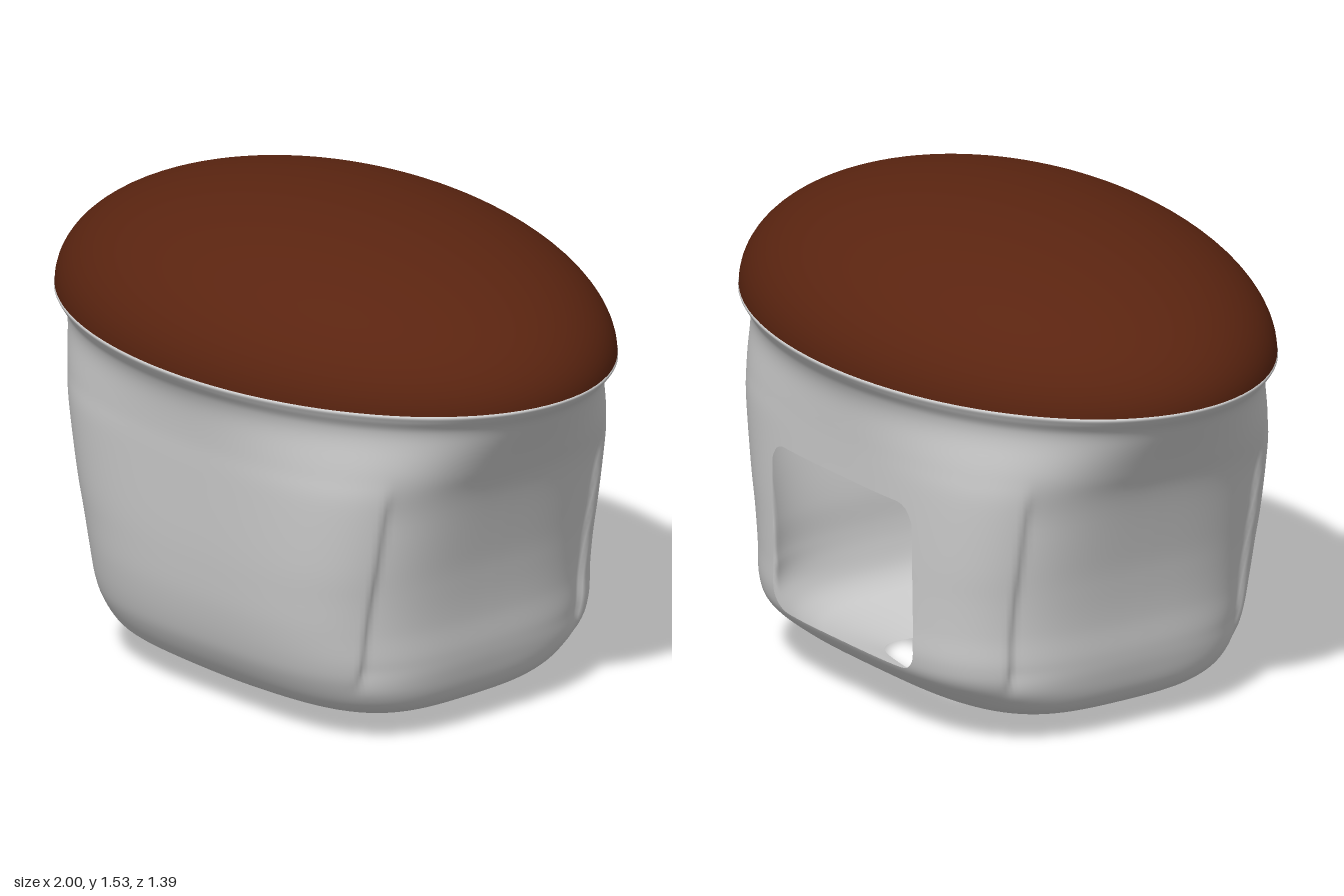
import * as THREE from 'three';

// Profile rows: height, half width, front depth, back depth, corner squareness
const ROWS = [
  [1.13, 0.985, 0.68, 0.68, 2], [1.12, 1.0, 0.693, 0.693, 2], [1.1, 0.985, 0.682, 0.682, 2.02],
  [1.06, 0.94, 0.652, 0.652, 2.12], [1.0, 0.9, 0.632, 0.634, 2.35], [0.9, 0.84, 0.62, 0.628, 2.85],
  [0.8, 0.79, 0.616, 0.626, 3.3], [0.6, 0.73, 0.608, 0.625, 3.6], [0.48, 0.703, 0.6, 0.625, 3.6],
  [0.37, 0.686, 0.588, 0.625, 3.6], [0.27, 0.68, 0.567, 0.624, 3.6], [0.2, 0.668, 0.541, 0.598, 3.6],
  [0.13, 0.645, 0.495, 0.515, 3.6], [0.085, 0.605, 0.44, 0.445, 3.6], [0.06, 0.55, 0.395, 0.395, 3.7],
  [0.03, 0.46, 0.33, 0.33, 3.9], [0.004, 0.38, 0.265, 0.265, 4.2],
];
const curve = (f) => new THREE.CatmullRomCurve3(ROWS.map(f), false, 'catmullrom', 0.5);
const widthCurve = curve(([y, a, , , n]) => new THREE.Vector3(a, y, n));
const depthCurve = curve(([y, , f, b]) => new THREE.Vector3(f, y, b));
const { smoothstep } = THREE.MathUtils;

function bodyPoint(theta, t) {
  const w = widthCurve.getPoint(t), d = depthCurve.getPoint(t);
  const c = Math.cos(theta), s = Math.sin(theta);
  const b = s > 0 ? d.x : d.z, n = w.z;
  const r = Math.pow(Math.pow(Math.abs(c) / w.x, n) + Math.pow(Math.abs(s) / b, n), -1 / n);
  let x = r * c;
  const z = r * s, y = w.y;
  // Stepped crease where the side panels meet the front and back panels
  const inset = 0.445 - Math.abs(z);
  if (inset > 0 && Math.abs(x) > 0.35) {
    const mask = smoothstep(y, 0.16, 0.26) * (1 - smoothstep(y, 0.74, 0.92));
    x -= Math.sign(x) * 0.028 * mask * smoothstep(inset, 0, 0.03) * Math.exp(-inset / 0.11);
  }
  // The lower corners lift slightly around the floor opening
  const lift = 0.018 * Math.sin(2 * theta) ** 2 * (1 - smoothstep(y, 0, 0.12));
  return new THREE.Vector3(x, y + lift, z);
}

// Signed distance to the rounded back window, negative inside it
function windowDistance(p) {
  if (p.z > 0) return 1;
  const r = 0.07;
  const qx = Math.abs(p.x) - 0.36 + r, qy = Math.abs(p.y - 0.487) - 0.267 + r;
  return Math.hypot(Math.max(qx, 0), Math.max(qy, 0)) + Math.min(Math.max(qx, qy), 0) - r;
}

// Cuts every triangle along the window outline
function cutWindow(geometry) {
  const pos = geometry.attributes.position, nor = geometry.attributes.normal, index = geometry.index;
  const outP = [], outN = [];
  const vertex = (i) => {
    const p = new THREE.Vector3().fromBufferAttribute(pos, i);
    return { p, n: new THREE.Vector3().fromBufferAttribute(nor, i), d: windowDistance(p) };
  };
  for (let i = 0; i < index.count; i += 3) {
    const tri = [0, 1, 2].map((k) => vertex(index.getX(i + k)));
    const poly = [];
    tri.forEach((u, k) => {
      const v = tri[(k + 1) % 3];
      if (u.d >= 0) poly.push(u);
      if (u.d >= 0 !== v.d >= 0) {
        const f = u.d / (u.d - v.d);
        poly.push({ p: u.p.clone().lerp(v.p, f), n: u.n.clone().lerp(v.n, f).normalize() });
      }
    });
    for (let k = 1; k + 1 < poly.length; k++) {
      for (const v of [poly[0], poly[k], poly[k + 1]]) {
        outP.push(...v.p.toArray());
        outN.push(...v.n.toArray());
      }
    }
  }
  const cut = new THREE.BufferGeometry();
  cut.setAttribute('position', new THREE.Float32BufferAttribute(outP, 3));
  cut.setAttribute('normal', new THREE.Float32BufferAttribute(outN, 3));
  return cut;
}

function buildBody() {
  const around = 320, down = 96, positions = [], indices = [];
  for (let j = 0; j <= down; j++) {
    for (let i = 0; i < around; i++) {
      positions.push(...bodyPoint((i / around) * Math.PI * 2, j / down).toArray());
    }
  }
  for (let j = 0; j < down; j++) {
    for (let i = 0; i < around; i++) {
      const k = (i + 1) % around;
      const a = j * around + i, b = j * around + k, c = a + around, d = b + around;
      indices.push(a, b, c, b, d, c);
    }
  }
  const geometry = new THREE.BufferGeometry();
  geometry.setAttribute('position', new THREE.Float32BufferAttribute(positions, 3));
  geometry.setIndex(indices);
  geometry.computeVertexNormals();
  return cutWindow(geometry);
}

export function createModel() {
  const model = new THREE.Group();

  // Thin shell with a back window and an open floor
  const body = new THREE.Mesh(
    buildBody(),
    new THREE.MeshStandardMaterial({ color: 0xcccccc, side: THREE.DoubleSide })
  );
  body.name = 'body';
  model.add(body);

  // Hollow domed top
  const domeGeometry = new THREE.SphereGeometry(1, 96, 32, 0, Math.PI * 2, 0, Math.PI / 2);
  domeGeometry.scale(0.998, 0.405, 0.691);
  const dome = new THREE.Mesh(
    domeGeometry,
    new THREE.MeshStandardMaterial({ color: 0x5a2410, side: THREE.DoubleSide })
  );
  dome.name = 'domedTop';
  dome.position.y = 1.125;
  model.add(dome);

  return model;
}
